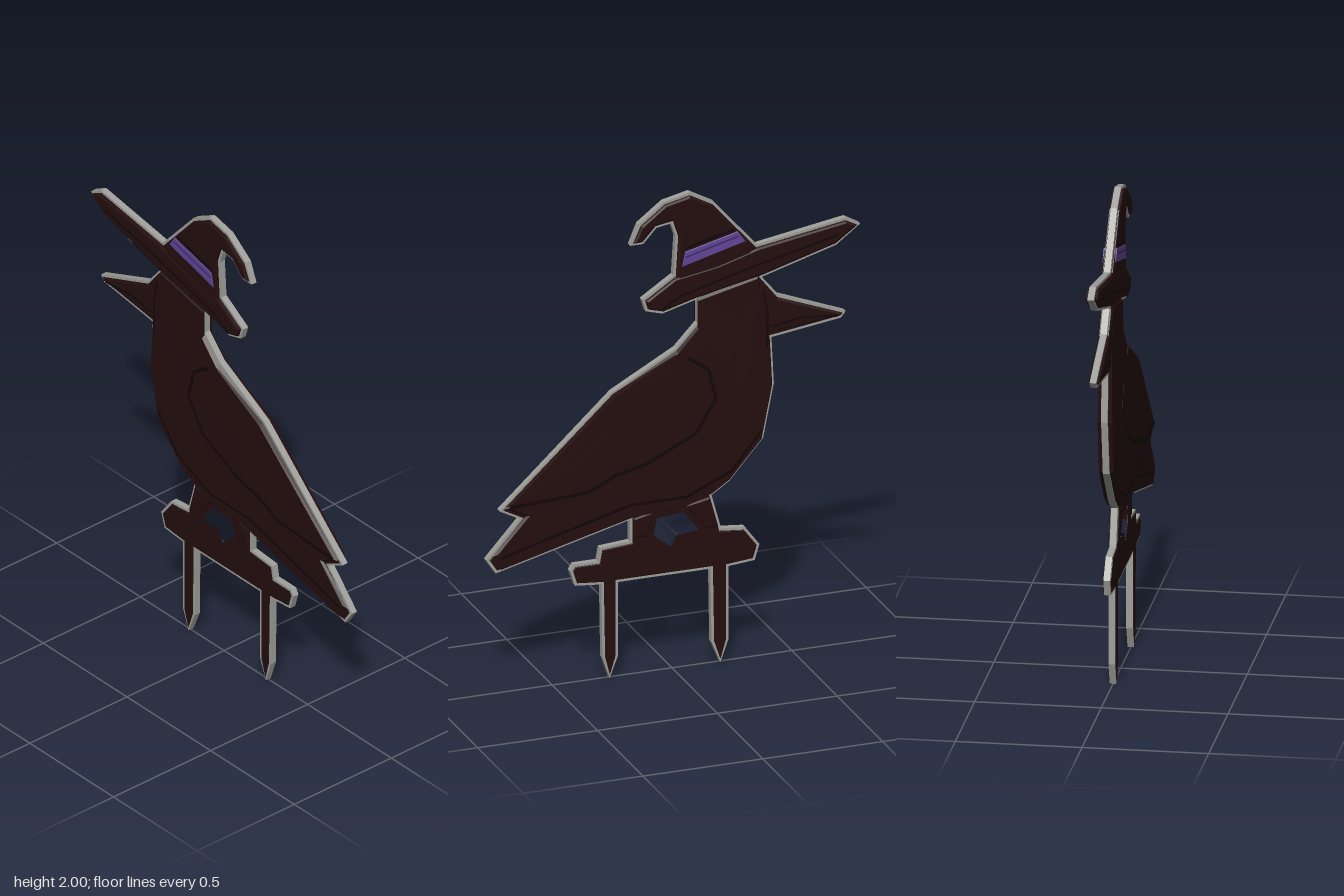
import * as THREE from 'three';

const plumage = new THREE.MeshStandardMaterial({ color: 0x250e0f });
const crease = new THREE.MeshStandardMaterial({ color: 0x120607 });
const edgeGrey = new THREE.MeshStandardMaterial({ color: 0xa0a09c });
const ribbonPurple = new THREE.MeshStandardMaterial({ color: 0x62469a });
const ribbonDark = new THREE.MeshStandardMaterial({ color: 0x432f6c });

// Silhouette sections, clockwise
const BACK = [[-0.1, 1.545], [-0.1, 1.445], [-0.01, 1.35], [0.255, 1.205], [0.725, 0.77], [0.64, 0.725],
  [0.78, 0.57], [0.74, 0.51], [0.18, 0.655]];
const PERCH = [[0.18, 0.565], [0.305, 0.555], [0.315, 0.5], [0.415, 0.5], [0.43, 0.475], [0.41, 0.41],
  [0.3, 0.4], [0.295, 0.09], [0.265, 0], [0.23, 0.09], [0.23, 0.4],
  [-0.155, 0.4], [-0.16, 0.09], [-0.197, 0], [-0.23, 0.09], [-0.23, 0.4],
  [-0.34, 0.41], [-0.36, 0.475], [-0.3, 0.555], [-0.2, 0.565]];
const BREAST = [[-0.16, 0.71], [-0.235, 0.76], [-0.375, 0.92], [-0.42, 1.145], [-0.41, 1.34]];
const BEAK = [[-0.7, 1.38], [-0.72, 1.405], [-0.44, 1.515], [-0.37, 1.6]];
const BRIM_LEFT = [[-0.68, 1.69], [-0.78, 1.765], [-0.72, 1.8], [-0.35, 1.74]];
const CROWN = [[-0.17, 1.945], [-0.07, 2], [0.04, 1.975], [0.145, 1.895], [0.18, 1.81], [0.125, 1.81],
  [0.07, 1.87], [0.01, 1.88], [-0.01, 1.82], [0, 1.66]];
const BRIM_RIGHT = [[0.13, 1.575], [0.115, 1.525], [0.045, 1.505]];
const OUTLINE = [...BACK, ...PERCH, ...BREAST, ...BEAK, ...BRIM_LEFT, ...CROWN, ...BRIM_RIGHT];
const LEG_GAP = [[-0.05, 0.67], [0.08, 0.66], [0.1, 0.57], [0.005, 0.5], [-0.02, 0.55], [-0.125, 0.565]];

const vec = (pts) => pts.map(([x, y]) => new THREE.Vector2(x, y));

// Gentle swelling of the bird's body; returns half thickness
const bulge = (x, y) =>
  0.024 + 0.009 * Math.max(0, 1 - ((x - 0.08) / 0.8) ** 2 - ((y - 1.02) / 0.5) ** 2);

export function createModel() {
  const model = new THREE.Group();

  function add(name, geometry, material) {
    const mesh = new THREE.Mesh(geometry, material);
    mesh.name = name;
    model.add(mesh);
  }

  // Flat panel of half thickness h, with its outline drawn in and chamfered
  function panel(name, pts, h, material, inset = 0.012, chamfer = 0.008, hole) {
    const shape = new THREE.Shape(vec(pts));
    if (hole) shape.holes.push(new THREE.Path(vec(hole)));
    const t = chamfer / 2;
    const geo = new THREE.ExtrudeGeometry(shape, {
      depth: 2 * (h - t), bevelEnabled: chamfer > 0, bevelThickness: t,
      bevelSize: chamfer, bevelOffset: -inset - chamfer, bevelSegments: 1,
    });
    add(name, geo.translate(0, 0, -(h - t)), material);
  }

  // Domed shell on both sides, lofted from rings shrinking toward a centre
  function dome(name, pts, [cx, cy], extra, material) {
    const loop = [...pts].reverse();
    const scales = [0.975, 0.95, 0.7, 0.4, 0];
    for (const side of [1, -1]) {
      const rings = scales.map((s, i) => loop.map(([px, py]) => {
        const x = cx + (px - cx) * s, y = cy + (py - cy) * s;
        return [x, y, side * (i ? bulge(x, y) + extra : 0.014)];
      }));
      const pos = [];
      const tri = (a, b, c) => pos.push(...a, ...(side > 0 ? b : c), ...(side > 0 ? c : b));
      for (let r = 0; r < scales.length - 1; r++) {
        for (let i = 0; i < loop.length; i++) {
          const j = (i + 1) % loop.length;
          tri(rings[r][i], rings[r][j], rings[r + 1][j]);
          if (scales[r + 1] > 0) tri(rings[r][i], rings[r + 1][j], rings[r + 1][i]);
        }
      }
      const geo = new THREE.BufferGeometry();
      geo.setAttribute('position', new THREE.Float32BufferAttribute(pos, 3));
      geo.computeVertexNormals();
      add(name + (side > 0 ? 'Front' : 'Back'), geo, material);
    }
  }

  // Narrow carved line lying just above the surface on both sides
  function line(name, pts, width, height, material = crease) {
    for (const side of [1, -1]) {
      const pos = [], index = [];
      const path = [];
      for (let i = 0; i < pts.length - 1; i++) {
        for (let k = 0; k < 4; k++) {
          path.push(new THREE.Vector2(...pts[i]).lerp(new THREE.Vector2(...pts[i + 1]), k / 4));
        }
      }
      path.push(new THREE.Vector2(...pts[pts.length - 1]));
      path.forEach((p, i) => {
        const d = path[Math.min(i + 1, path.length - 1)].clone().sub(path[Math.max(i - 1, 0)]).normalize();
        for (const e of [1, -1]) {
          const x = p.x - d.y * e * width / 2, y = p.y + d.x * e * width / 2;
          pos.push(x, y, side * height(x, y));
        }
        if (i === 0) return;
        const a = 2 * i - 2, b = a + 1, c = a + 2, f = a + 3;
        index.push(...(side > 0 ? [a, b, c, b, f, c] : [a, c, b, b, c, f]));
      });
      const geo = new THREE.BufferGeometry();
      geo.setAttribute('position', new THREE.Float32BufferAttribute(pos, 3));
      geo.setIndex(index);
      geo.computeVertexNormals();
      add(name + (side > 0 ? 'Front' : 'Back'), geo, material);
    }
  }

  // Grey backing plate and the dark face over the whole silhouette
  panel('backingPlate', OUTLINE, 0.013, edgeGrey, 0, 0, LEG_GAP);
  panel('darkFace', OUTLINE, 0.0165, plumage, 0.011, 0.003, LEG_GAP);

  // Body and folded wing
  dome('body', [[-0.36, 1.63], [-0.1, 1.57], ...BACK.slice(1), [0.08, 0.66], [-0.05, 0.67], ...BREAST],
    [-0.12, 1], 0, plumage);
  const wingFront = [[0.25, 0.86], [0.12, 0.89], [-0.085, 0.99], [-0.17, 1.125], [-0.14, 1.25], [-0.055, 1.31]];
  dome('wing', [[-0.01, 1.34], [0.255, 1.2], [0.715, 0.775], [0.36, 0.81], ...wingFront],
    [0.14, 1.06], 0.003, plumage);

  // Head side and beak
  panel('beak', [[-0.39, 1.35], [-0.7, 1.38], [-0.72, 1.405], [-0.44, 1.515], [-0.36, 1.61], [-0.34, 1.5]],
    0.023, plumage);

  // Legs
  panel('frontLeg', [[-0.16, 0.72], [-0.03, 0.69], [-0.125, 0.565], [-0.2, 0.565]], 0.021, plumage);
  panel('rearLeg', [[0.07, 0.69], [0.18, 0.67], [0.18, 0.565], [0.1, 0.565]], 0.021, plumage);

  // Hat
  panel('hatCrown', [[-0.35, 1.735], ...CROWN, [-0.02, 1.61], [-0.32, 1.68]], 0.024, plumage);
  panel('hatBrim', [...BRIM_RIGHT, [-0.1, 1.545], [-0.37, 1.6], ...BRIM_LEFT, [-0.18, 1.69], [0, 1.66]],
    0.026, plumage);
  panel('hatRibbon', [[-0.265, 1.812], [-0.045, 1.757], [-0.033, 1.695], [-0.297, 1.765]],
    0.027, ribbonPurple, 0, 0.003);

  // Carved lines
  const flat = (z) => () => z;
  line('ribbonShade', [[-0.268, 1.792], [-0.045, 1.734]], 0.008, flat(0.0275), ribbonDark);
  line('ribbonLine', [[-0.25, 1.822], [-0.045, 1.77]], 0.012, flat(0.0248));
  line('brimLine', [[-0.68, 1.735], [-0.35, 1.66], [-0.03, 1.575], [0.05, 1.53]], 0.009, flat(0.0268));
  line('beakLine', [[-0.68, 1.395], [-0.53, 1.41], [-0.41, 1.39]], 0.009, flat(0.0238));
  line('headLine', [[-0.37, 1.55], [-0.39, 1.45], [-0.385, 1.3]], 0.009, (x, y) => bulge(x, y) + 0.002);
  line('wingLine', [[0.69, 0.785], [0.36, 0.805], ...wingFront], 0.015, (x, y) => bulge(x, y) + 0.0045);
  line('bellyLine', [[-0.36, 0.96], [-0.24, 0.81], [-0.05, 0.725], [0.18, 0.725], [0.42, 0.66], [0.72, 0.575]],
    0.012, (x, y) => bulge(x, y) + 0.002);

  return model;
}
